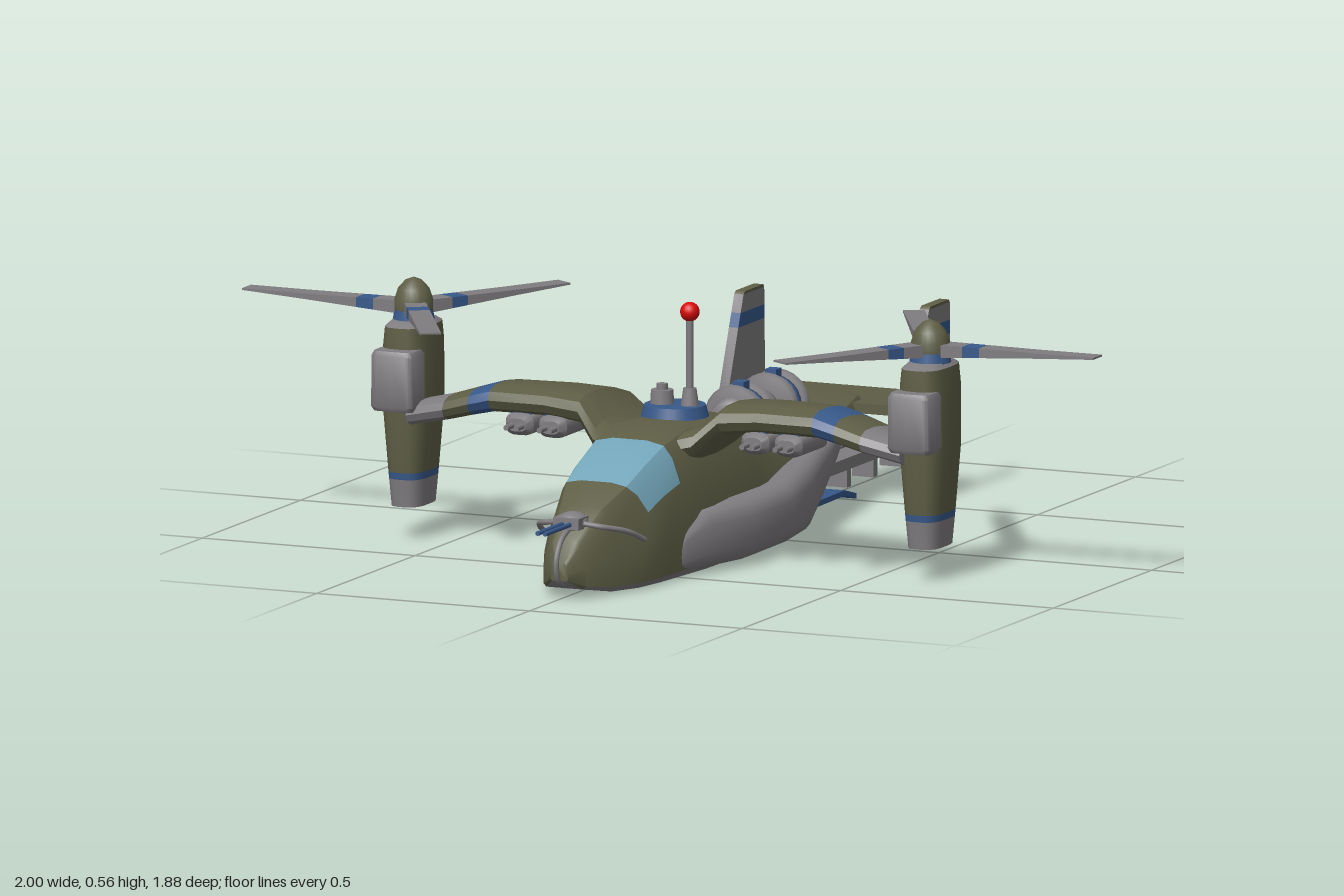
import * as THREE from 'three';
import { toCreasedNormals } from 'three/addons/utils/BufferGeometryUtils.js';

const mat = (name, color) => Object.assign(new THREE.MeshStandardMaterial({ color }), { name });
const olive = mat('olive paint', 0x5e5e46), grey = mat('grey metal', 0x807d80), blue = mat('blue trim', 0x38598a);
const glass = mat('window glass', 0x73a5b9), red = mat('red beacon', 0xd80808);
const V = (x, y, z) => new THREE.Vector3(x, y, z);

// Capped skin through equal-sized rings; pick(row, side) chooses each panel's material
function loft(name, rings, pick, crease = 0.7) {
  const n = rings[0].length, buckets = new Map();
  const add = (m, ...pts) => buckets.set(m, [...(buckets.get(m) || []), ...pts]);
  for (let i = 0; i < rings.length - 1; i++) for (let j = 0; j < n; j++) {
    const a = rings[i][j], b = rings[i][(j + 1) % n], c = rings[i + 1][(j + 1) % n], d = rings[i + 1][j];
    add(pick(i, j), a, b, c, a, c, d);
  }
  const first = rings[0], last = rings[rings.length - 1];
  for (let j = 1; j < n - 1; j++) {
    add(pick(0, -1), first[0], first[j + 1], first[j]);
    add(pick(rings.length - 2, -1), last[0], last[j], last[j + 1]);
  }
  // Turn the skin outward when its enclosed volume comes out negative
  const c0 = first[0];
  let volume = 0;
  for (const p of buckets.values()) for (let k = 0; k < p.length; k += 3) {
    const [a, b, c] = [0, 1, 2].map(q => p[k + q].clone().sub(c0));
    volume += a.dot(b.cross(c));
  }
  let geo = new THREE.BufferGeometry();
  const all = [], mats = [...buckets.keys()];
  mats.forEach((m, mi) => {
    const p = buckets.get(m);
    geo.addGroup(all.length, p.length, mi);
    for (let k = 0; k < p.length; k += 3) all.push(...(volume < 0 ? [p[k], p[k + 2], p[k + 1]] : [p[k], p[k + 1], p[k + 2]]));
  });
  geo.setFromPoints(all);
  geo = toCreasedNormals(geo, crease);
  const mesh = new THREE.Mesh(geo, mats);
  mesh.name = name;
  return mesh;
}

// Rounded-square ring; at(u, v) places each point
const oval = (ru, rv, at, n = 20, k = 0.65) => Array.from({ length: n }, (_, i) => {
  const a = i / n * Math.PI * 2, c = Math.cos(a), s = Math.sin(a);
  return at(ru * Math.sign(c) * Math.abs(c) ** k, rv * Math.sign(s) * Math.abs(s) ** k);
});

export function createModel() {
  const model = new THREE.Group();
  model.name = 'tiltrotorAircraft';
  const put = (name, geo, material, x = 0, y = 0, z = 0, parent = model) => {
    const m = new THREE.Mesh(geo, material);
    m.name = name;
    m.position.set(x, y, z);
    parent.add(m);
    return m;
  };
  const box = (name, m, w, h, d, x, y, z) => put(name, new THREE.BoxGeometry(w, h, d), m, x, y, z);
  const rod = (name, m, r, len, x, y, z) => put(name, new THREE.CylinderGeometry(r, r, len, 12).rotateX(Math.PI / 2), m, x, y, z);
  const tube = (name, m, r, pts) => put(name, new THREE.TubeGeometry(new THREE.CatmullRomCurve3(pts), 24, r, 8), m);

  // Fuselage: z, bottom, top, lower half-width, upper half-width, backward lean of the lower edge
  const body = [
    [0.848, 0.05, 0.09, 0.02, 0.015, 0], [0.82, 0.03, 0.135, 0.05, 0.035, 0], [0.74, 0.015, 0.195, 0.085, 0.06, 0],
    [0.66, 0.012, 0.235, 0.115, 0.088, 0.15], [0.57, 0.01, 0.272, 0.127, 0.095, 0.03], [0.49, 0.01, 0.299, 0.137, 0.1, 0],
    [0.38, 0.01, 0.318, 0.15, 0.105, 0], [0.15, 0.01, 0.305, 0.155, 0.105, 0], [0.0, 0.012, 0.25, 0.15, 0.1, 0],
    [-0.1, 0.025, 0.232, 0.145, 0.1, 0], [-0.25, 0.085, 0.217, 0.118, 0.092, 0], [-0.4, 0.175, 0.228, 0.098, 0.09, 0],
    [-0.5, 0.205, 0.243, 0.09, 0.08, 0], [-0.535, 0.215, 0.238, 0.06, 0.05, 0]];
  const bodyRings = body.map(([z, b, t, w, u, lean]) => {
    const h = t - b;
    const half = [[w * 0.86, b], [w, b + h * 0.06], [w, b + h * 0.42], [u + (w - u) * 0.5, b + h * 0.7],
      [u, b + h * 0.88], [u * 0.8, b + h * 0.97], [u * 0.4, t]].map(([x, y], k) => [x, y, z - (k === 3 ? lean * 0.3 : k === 4 ? lean * 0.12 : 0)]);
    return [...half.map(p => V(...p)), ...half.reverse().map(([x, y, d]) => V(-x, y, d))];
  });
  model.add(loft('fuselage', bodyRings, (i, j) => {
    if (j === 13 || (j === 0 || j === 12) && i > 0 && i < 10) return grey;
    return (i === 3 || i === 4) && j >= 3 && j <= 9 ? glass : olive;
  }, 0.6));

  // Tail plane, rear boom with its feet, and the lowered ramp
  box('tailPlane', olive, 0.44, 0.022, 0.19, 0, 0.218, -0.552);
  box('rearBoom', grey, 0.076, 0.016, 0.78, 0, 0.08, -0.55);
  for (const s of [-1, 1]) box('boomRail', grey, 0.008, 0.026, 0.78, s * 0.035, 0.08, -0.55);
  for (const z of [-0.3, -0.435, -0.57, -0.705, -0.845]) box('boomFoot', grey, 0.05, 0.05, 0.02, 0, 0.048, z);
  const ramp = [[-0.15, 0.06, 0.1], [-0.25, 0.05, 0.1], [-0.42, 0.045, 0.085], [-0.49, 0.027, 0.08]];
  model.add(loft('ramp', ramp.map(([z, y, w]) => [V(-w, y, z), V(w, y, z), V(w, y - 0.012, z), V(-w, y - 0.012, z)]), () => blue));

  // Turbine drums lying along the back
  const drum = (name, m, pts) => put(name, new THREE.LatheGeometry(pts.map(([r, z]) => new THREE.Vector2(r, z)), 24).rotateX(Math.PI / 2), m, 0, 0.255, 0);
  drum('turbineShaft', grey, [[0, -0.33], [0.025, -0.325], [0.04, -0.305], [0.035, -0.27], [0.035, -0.215], [0.02, -0.2],
    [0.04, -0.185], [0.045, -0.165], [0.04, -0.14], [0.02, -0.125], [0.035, -0.11], [0.035, -0.04], [0.05, -0.03], [0.04, -0.005], [0, 0]]);
  for (const z of [-0.24, -0.075]) {
    for (const d of [-0.028, 0.028]) drum('turbineDisc', grey, [[0.02, z + d - 0.012], [0.066, z + d - 0.01], [0.073, z + d], [0.066, z + d + 0.01], [0.02, z + d + 0.012]]);
    drum('turbineBand', blue, [[0.03, z - 0.012], [0.062, z - 0.011], [0.062, z + 0.011], [0.03, z + 0.012]]);
    box('turbineCrest', blue, 0.026, 0.035, 0.03, 0, 0.315, z);
  }

  // Roof mount with beacon mast and sensor
  put('roofDisc', new THREE.CylinderGeometry(0.066, 0.073, 0.025, 32), blue, 0, 0.325, 0.26);
  put('sensor', new THREE.CylinderGeometry(0.024, 0.026, 0.03, 20), grey, -0.03, 0.352, 0.26);
  put('sensorCap', new THREE.CylinderGeometry(0.012, 0.012, 0.016, 16), grey, -0.03, 0.372, 0.26);
  put('mastBase', new THREE.CylinderGeometry(0.014, 0.02, 0.04, 16), grey, 0.035, 0.355, 0.26);
  put('mast', new THREE.CylinderGeometry(0.008, 0.008, 0.2, 12), grey, 0.035, 0.44, 0.26);
  put('beacon', new THREE.SphereGeometry(0.021, 20, 14), red, 0.035, 0.54, 0.26);

  // Nose turret
  put('turret', new THREE.SphereGeometry(0.034, 20, 12).scale(1, 0.65, 1), grey, 0, 0.168, 0.78);
  box('turretBlock', grey, 0.06, 0.025, 0.05, 0, 0.168, 0.79);
  for (const s of [-1, 1]) {
    rod('gunBarrel', blue, 0.005, 0.13, s * 0.009, 0.167, 0.875);
    tube('noseRail', grey, 0.006, [V(s * 0.118, 0.12, 0.67), V(s * 0.104, 0.145, 0.725), V(s * 0.07, 0.16, 0.775), V(s * 0.02, 0.168, 0.79)]);
  }
  tube('noseLoop', grey, 0.006, [V(0, 0.16, 0.79), V(0, 0.135, 0.84), V(0, 0.09, 0.864), V(0, 0.05, 0.852), V(0, 0.035, 0.82)]);

  for (const s of [-1, 1]) {
    // Side sponson: z, centre x, centre y, half-width, half-height
    const sponson = [[0.53, 0.115, 0.045, 0.012, 0.022], [0.5, 0.115, 0.068, 0.026, 0.046], [0.43, 0.123, 0.084, 0.047, 0.064],
      [0.3, 0.143, 0.086, 0.066, 0.067], [0.1, 0.14, 0.086, 0.066, 0.067], [-0.04, 0.127, 0.096, 0.06, 0.075],
      [-0.17, 0.105, 0.122, 0.05, 0.06], [-0.3, 0.09, 0.158, 0.035, 0.036], [-0.39, 0.08, 0.185, 0.02, 0.014]];
    model.add(loft('sponson', sponson.map(([z, x, y, a, b]) => oval(a, b, (u, v) => V(s * (x + u), y + v, z))), () => grey, 0.8));

    // Wing: x, top height, thickness, leading z, trailing z
    const wing = [[0.06, 0.3, 0.06, 0.47, 0.1], [0.115, 0.315, 0.07, 0.43, 0.11], [0.165, 0.363, 0.065, 0.4, 0.13], [0.25, 0.367, 0.06, 0.39, 0.145],
      [0.38, 0.367, 0.06, 0.39, 0.165], [0.43, 0.352, 0.056, 0.388, 0.175], [0.49, 0.333, 0.052, 0.385, 0.185], [0.58, 0.312, 0.05, 0.375, 0.2]];
    const foil = [[0, 0.5], [0.04, 0.2], [0.16, 0.02], [0.4, 0], [0.7, 0.15], [1, 0.5], [1, 0.6], [0.7, 0.85], [0.4, 1], [0.16, 0.98], [0.04, 0.8]];
    model.add(loft('wing', wing.map(([x, y, t, f, b]) => foil.map(([u, v]) => V(s * x, y - v * t, f + (b - f) * u))),
      i => [olive, olive, olive, olive, blue, olive, grey][i], 0.6));

    // Pods slung under the wing, each with twin barrels
    for (const x of [0.238, 0.316]) {
      const pod = [[0.38, 0.02, 0.014], [0.365, 0.033, 0.024], [0.24, 0.033, 0.024], [0.21, 0.02, 0.014]];
      model.add(loft('wingPod', pod.map(([z, a, b]) => oval(a, b, (u, v) => V(s * x + u, 0.287 + v, z))), () => grey));
      box('podMount', blue, 0.045, 0.022, 0.1, s * x, 0.311, 0.31);
      for (const d of [-0.012, 0.012]) rod('podBarrel', grey, 0.006, 0.06, s * (x + d), 0.285, 0.38);
    }

    // Tail fin with stripe and painted tip: y, front z, back z
    const fin = [[0.14, -0.46, -0.647], [0.22, -0.456, -0.646], [0.36, -0.51, -0.644], [0.39, -0.522, -0.643], [0.428, -0.537, -0.642], [0.434, -0.545, -0.637]];
    model.add(loft('tailFin', fin.map(([y, f, b]) => [V(s * 0.207, y, f), V(s * 0.229, y, f), V(s * 0.229, y, b), V(s * 0.207, y, b)]),
      i => [grey, grey, blue, grey, olive][i]));

    // Engine nacelle: y, half-width, half-depth
    const nacelle = new THREE.Group();
    nacelle.name = 'nacelle';
    nacelle.position.set(s * 0.607, 0, 0.275);
    model.add(nacelle);
    const pod = [[0.08, 0.036, 0.062], [0.14, 0.041, 0.068], [0.155, 0.042, 0.07], [0.3, 0.053, 0.081], [0.43, 0.051, 0.083], [0.47, 0.047, 0.081], [0.48, 0.038, 0.06]];
    nacelle.add(loft('nacelleBody', pod.map(([y, a, b]) => oval(a, b, (u, v) => V(u, y, v))),
      i => [grey, blue, olive, olive, olive, grey][i], 0.6));
    const intake = [[0.295, 0.046, 0.035], [0.305, 0.051, 0.041], [0.415, 0.05, 0.041], [0.425, 0.045, 0.035]];
    nacelle.add(loft('intake', intake.map(([y, a, b]) => oval(a, b, (u, v) => V(u, y, v + 0.08), 20, 0.35)), () => grey));

    // Rotor hub and three blades, thick at the root and thin at the tip
    put('hubRing', new THREE.CylinderGeometry(0.04, 0.045, 0.03, 24), blue, 0, 0.493, 0, nacelle);
    put('hubDome', new THREE.LatheGeometry([[0.042, 0.5], [0.042, 0.52], [0.034, 0.545], [0.018, 0.563], [0, 0.57]].map(p => new THREE.Vector2(...p)), 24), olive, 0, 0, 0, nacelle);
    for (let k = 0; k < 3; k++) {
      const rows = [[0.03, 0.014], [0.085, 0.012], [0.125, 0.0105], [0.25, 0.006], [0.393, 0.002]];
      const blade = loft('blade', rows.map(([r, t]) => [[-1, 1], [1, 1], [1, -1], [-1, -1]].map(([e, f]) =>
        V(s * r, 0.505 + r * 0.03 + f * t, e * 0.023))), i => (i === 1 ? blue : grey));
      blade.rotation.y = k * Math.PI * 2 / 3;
      nacelle.add(blade);
    }
  }
  return model;
}
